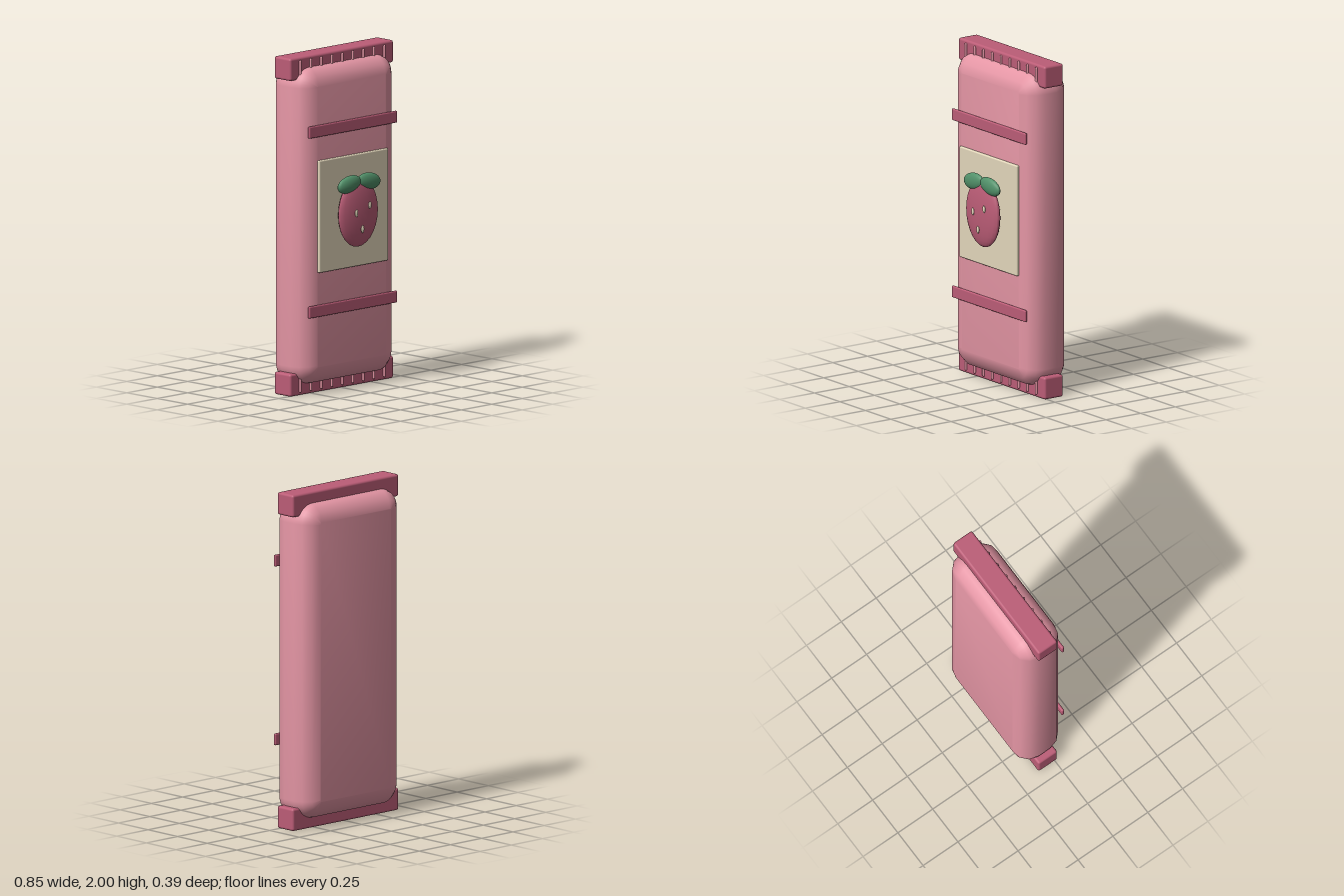
import * as THREE from 'three';
import { RoundedBoxGeometry } from 'three/addons/geometries/RoundedBoxGeometry.js';
import { toCreasedNormals } from 'three/addons/utils/BufferGeometryUtils.js';

function material(name, color) {
  const m = new THREE.MeshStandardMaterial({ color });
  m.name = name;
  return m;
}

// Pillow-like bar with 30 degree steps around every edge
function pillowGeometry(halfX, halfY, depth, bevel) {
  const x = halfX - bevel, y = halfY - bevel, r = 0.012;
  const s = new THREE.Shape();
  s.absarc(x - r, y - r, r, 0, Math.PI / 2);
  s.absarc(-x + r, y - r, r, Math.PI / 2, Math.PI);
  s.absarc(-x + r, -y + r, r, Math.PI, Math.PI * 1.5);
  s.absarc(x - r, -y + r, r, Math.PI * 1.5, Math.PI * 2);
  s.closePath();
  const g = new THREE.ExtrudeGeometry(s, {
    depth: depth - 2 * bevel, bevelThickness: bevel, bevelSize: bevel,
    bevelSegments: 3, curveSegments: 4,
  });
  g.translate(0, 0, -(depth - 2 * bevel) / 2);
  return toCreasedNormals(g, 0.75);
}

export function createModel() {
  const pink = material('wrapper pink', 0xe596a5);
  const rose = material('deep rose', 0xbc5d77);
  const cream = material('label cream', 0xe3d7bb);
  const green = material('leaf green', 0x52916a);

  const model = new THREE.Group();
  model.name = 'wrappedBar';

  function add(name, geometry, mat, x, y, z) {
    const mesh = new THREE.Mesh(geometry, mat);
    mesh.name = name;
    mesh.position.set(x, y, z);
    model.add(mesh);
    return mesh;
  }
  function ellipsoid(name, mat, x, y, z, rx, ry, rz) {
    const mesh = add(name, new THREE.SphereGeometry(1, 20, 14), mat, x, y, z);
    mesh.scale.set(rx, ry, rz);
    return mesh;
  }

  // Body
  add('body', pillowGeometry(0.393, 0.942, 0.3, 0.11), pink, 0, 0.998, -0.05);

  // Crimped ends with thin ridges, and the stripes
  for (const side of [-1, 1]) {
    add('endSeal', new RoundedBoxGeometry(0.85, 0.133, 0.136, 2, 0.014), rose,
      0, 1 + side * 0.9335, -0.049);
    for (let i = -4; i <= 4; i++) {
      add('sealRidge', new THREE.CapsuleGeometry(0.008, 0.084, 3, 8), pink,
        i * 0.0863, 1 + side * 0.9335, 0.021);
    }
    add('stripe', new RoundedBoxGeometry(0.724, 0.07, 0.018, 2, 0.008), rose,
      0, 1.035 + side * 0.532, 0.106);
  }

  // Label
  add('label', new RoundedBoxGeometry(0.568, 0.664, 0.022, 2, 0.008), cream, 0, 1.06, 0.107);

  // Strawberry with leaves and seeds
  ellipsoid('berry', rose, 0, 1.055, 0.15, 0.16, 0.203, 0.037);
  for (const side of [-1, 1]) {
    const leaf = ellipsoid('leaf', green, side * 0.08, 1.231, 0.158, 0.094, 0.05, 0.026);
    leaf.rotation.z = -side * 0.15;
  }
  for (const [x, y] of [[-0.05, 1.06], [0.06, 1.095], [0, 0.96]]) {
    ellipsoid('seed', cream, x, y, 0.189, 0.012, 0.022, 0.006);
  }

  return model;
}
